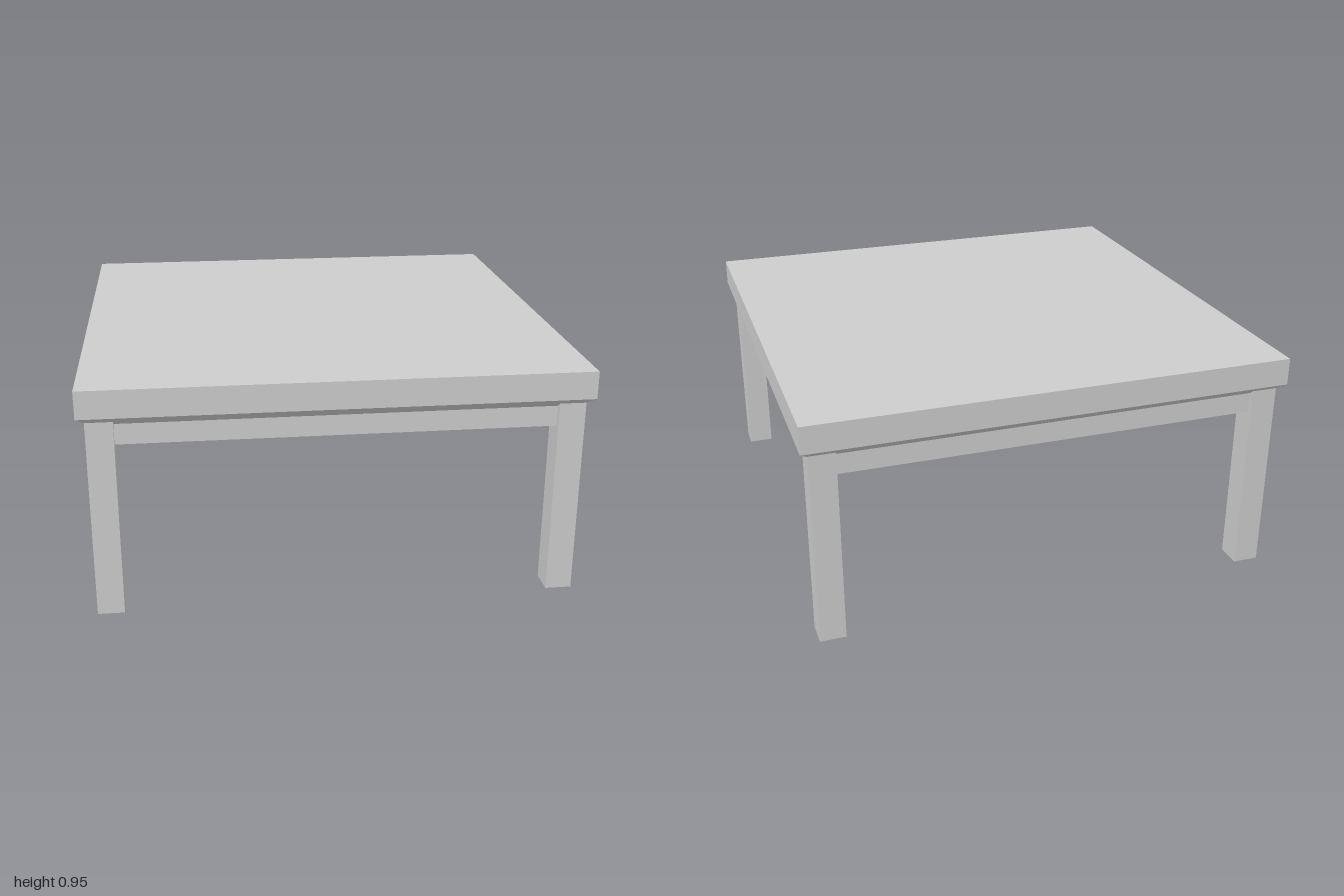
import * as THREE from 'three';

const greyPaint = new THREE.MeshStandardMaterial({ color: 0xcccccc });
greyPaint.name = 'greyPaint';

function addPart(parent, name, geometry, x = 0, y = 0, z = 0) {
  const mesh = new THREE.Mesh(geometry, greyPaint);
  mesh.name = name;
  mesh.position.set(x, y, z);
  parent.add(mesh);
  return mesh;
}

// Square solid swept from a [half width, height] profile, with hard edges
function squareLathe(profile) {
  const points = profile.map(([half, y]) => new THREE.Vector2(half * Math.SQRT2, y));
  const geometry = new THREE.LatheGeometry(points, 4).rotateY(Math.PI / 4).toNonIndexed();
  geometry.computeVertexNormals();
  return geometry;
}

export function createModel() {
  const table = new THREE.Group();
  table.name = 'table';

  // Thick top, chamfered along its lower edge
  addPart(table, 'tableTop', squareLathe([[0, 0.8], [0.95, 0.8], [1, 0.84], [1, 0.953], [0, 0.953]]));

  // Solid apron block under the top, set back from the outer leg faces
  addPart(table, 'apron', new THREE.BoxGeometry(1.9, 0.09, 1.9), 0, 0.761, 0);

  // Four square legs, running up into the chamfer
  const legHeight = 0.83;
  const legGeometry = new THREE.BoxGeometry(0.107, legHeight, 0.107);
  for (const [endName, z] of [['front', 0.916], ['back', -0.916]]) {
    for (const [sideName, x] of [['Left', 0.916], ['Right', -0.916]]) {
      addPart(table, `${endName}${sideName}Leg`, legGeometry, x, legHeight / 2, z);
    }
  }

  return table;
}
